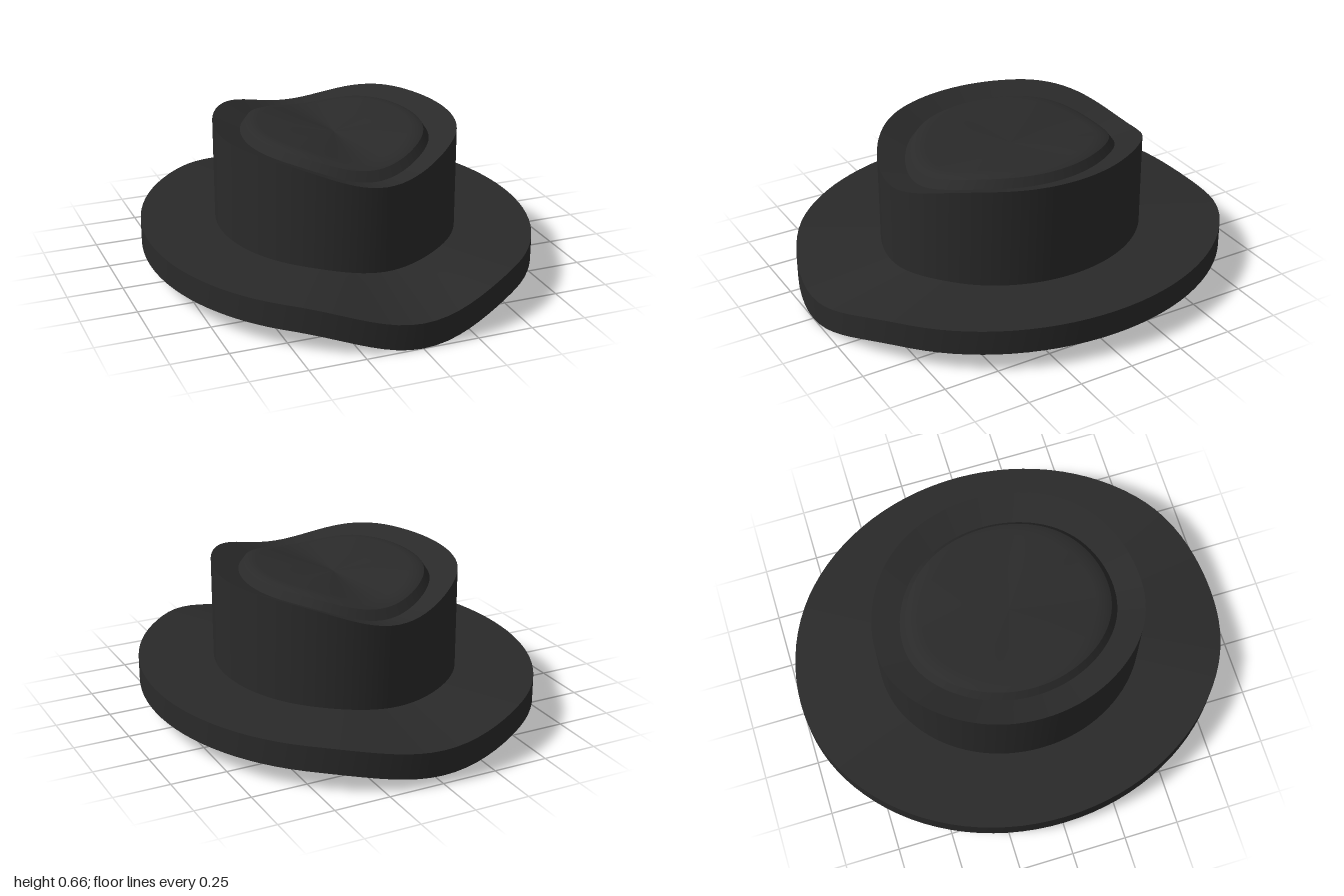
import * as THREE from 'three';

const SEGMENTS = 96;

// Dip of a ring at the front and back: 1 at the ends, fading to 0 at the sides
function dip(a, width, front, back) {
  const t = Math.min(1, Math.abs(Math.sin(a)) / width);
  return Math.cos(t * Math.PI / 2) ** 2 * (Math.cos(a) > 0 ? front : back);
}

// Elliptical ring: radii, height at the sides, dip at front and back
const ring = (rx, rz, y, width = 1, front = 0, back = front) => (a) =>
  [rx * Math.sin(a), y - dip(a, width, front, back), rz * Math.cos(a)];

// Smooth surface through rings listed from bottom/outside to top/inside
function loft(rings) {
  const pos = [], index = [], row = SEGMENTS + 1;
  rings.forEach((r, j) => {
    for (let i = 0; i <= SEGMENTS; i++) {
      pos.push(...r((i / SEGMENTS) * Math.PI * 2));
      if (j && i) {
        const a = (j - 1) * row + i - 1, b = a + 1, c = a + row, d = c + 1;
        index.push(a, b, d, a, d, c);
      }
    }
  });
  const g = new THREE.BufferGeometry();
  g.setAttribute('position', new THREE.Float32BufferAttribute(pos, 3));
  g.setIndex(index);
  g.computeVertexNormals();
  // Join the normals along the seam
  const n = g.attributes.normal;
  rings.forEach((_, j) => {
    const s = j * row, e = s + SEGMENTS;
    const v = new THREE.Vector3().fromBufferAttribute(n, s)
      .add(new THREE.Vector3().fromBufferAttribute(n, e)).normalize();
    n.setXYZ(s, v.x, v.y, v.z);
    n.setXYZ(e, v.x, v.y, v.z);
  });
  return g;
}

export function createModel() {
  const hat = new THREE.Group();
  hat.name = 'hat';
  const felt = new THREE.MeshStandardMaterial({ color: 0x2a2a2a });
  felt.name = 'charcoal felt';

  const add = (name, rings) => {
    const mesh = new THREE.Mesh(loft(rings), felt);
    mesh.name = name;
    hat.add(mesh);
  };

  // Brim
  const brimLow = ring(0.87, 1, 0.086, 0.6, 0.086, 0.048);
  const brimHigh = ring(0.87, 1, 0.2, 0.6, 0.086, 0.048);
  const crownBase = ring(0.535, 0.61, 0.2, 0.65, 0.025, 0.014);
  add('brimUnderside', [ring(0, 0, 0.076), ring(0.5, 0.61, 0.076), brimLow]);
  add('brimEdge', [brimLow, brimHigh]);
  add('brimTop', [brimHigh, crownBase]);

  // Crown wall with a rim that dips at front and back
  const rim = ring(0.535, 0.61, 0.658, 0.88, 0.096);
  add('crownWall', [crownBase, rim]);

  // Rim slopes inward to a groove
  const groove = ring(0.412, 0.487, 0.605, 0.9, 0.065);
  add('crownRim', [rim, groove]);

  // Raised centre panel with a soft edge
  const panelEdge = ring(0.388, 0.46, 0.642, 0.95, 0.06);
  add('panelWall', [groove, panelEdge]);
  add('panelTop', [
    panelEdge,
    ring(0.365, 0.43, 0.651, 0.95, 0.054),
    ring(0.33, 0.39, 0.651, 0.95, 0.051),
    ring(0.17, 0.2, 0.628, 0.95, 0.026),
    ring(0, 0, 0.604),
  ]);

  return hat;
}
